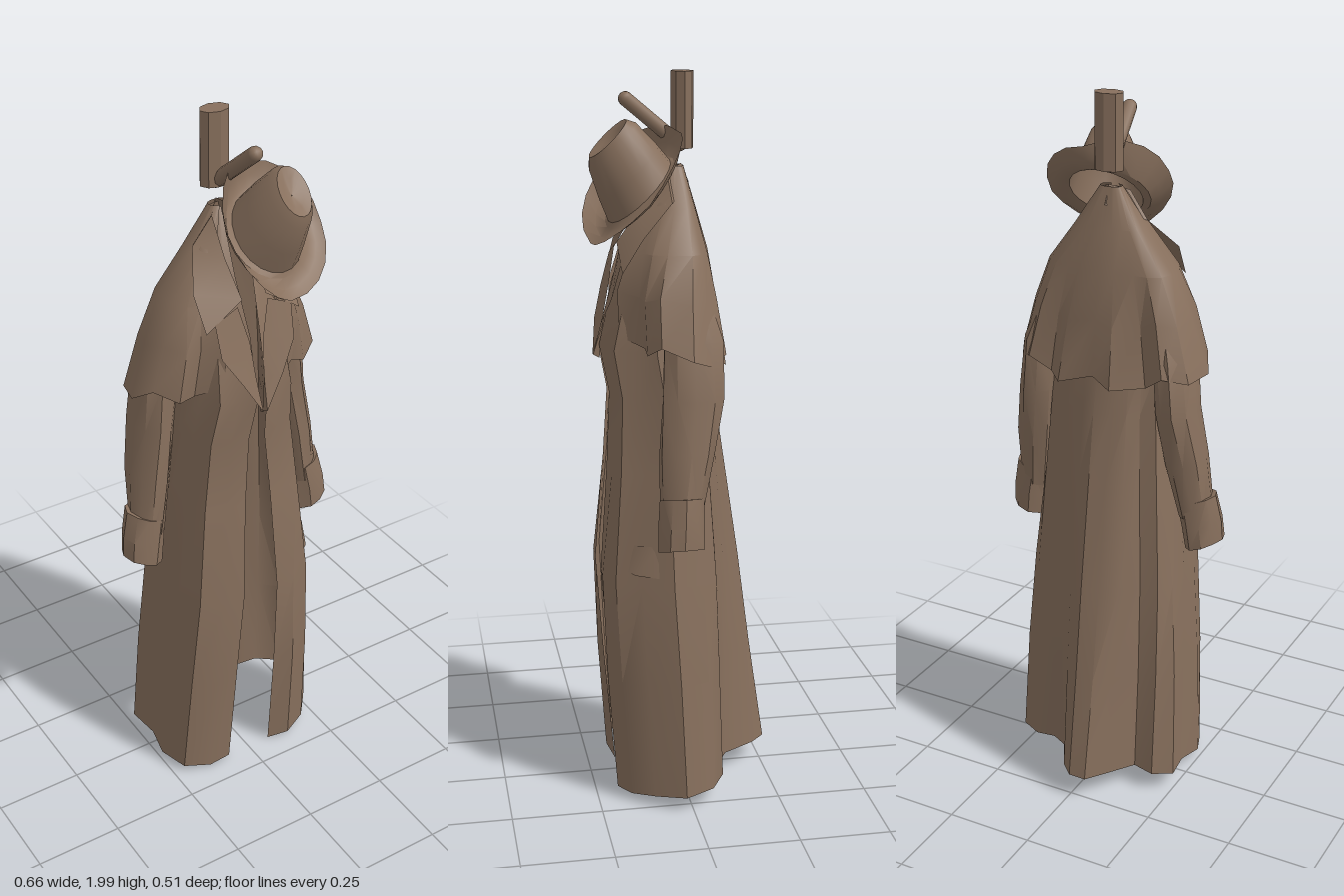
import * as THREE from 'three';
import { toCreasedNormals } from 'three/addons/utils/BufferGeometryUtils.js';

const brown = new THREE.MeshStandardMaterial({ color: 0x88705d, side: THREE.DoubleSide });
brown.name = 'weathered brown';

function add(parent, name, geometry) {
  const mesh = new THREE.Mesh(geometry, brown);
  mesh.name = name;
  parent.add(mesh);
  return mesh;
}

// Skin between consecutive rows of [x, y, z] points
function loft(rows, closed = false, crease = 0.6) {
  const n = rows[0].length, index = [];
  for (let r = 0; r < rows.length - 1; r++) {
    for (let i = 0; i < (closed ? n : n - 1); i++) {
      const j = (i + 1) % n, a = r * n + i, b = r * n + j;
      index.push(a, a + n, b, b, a + n, b + n);
    }
  }
  const g = new THREE.BufferGeometry();
  g.setAttribute('position', new THREE.Float32BufferAttribute(rows.flat(2), 3));
  g.setIndex(index);
  return toCreasedNormals(g, crease);
}

// Open cloth ring: blends a pleated oval (split at the front) with a folded hem outline
function clothRing([y, hx, zf, zb, gap, fold, pleat = 0], hem, [rx, rf, rb], lift) {
  const g = Math.asin(Math.min(1, gap / hx)), n = hem.length;
  return hem.map(([px, pz], i) => {
    const th = g + (i / (n - 1)) * (2 * Math.PI - 2 * g), c = Math.cos(th);
    const k = 1 - (i % 2) * pleat;
    const ex = -Math.sin(th) * hx * k;
    const ez = Math.sign(c) * Math.pow(Math.abs(c), 0.68) * (c > 0 ? zf : zb) * k;
    const fx = px * hx / rx, fz = pz > 0 ? pz * zf / rf : pz * zb / rb;
    return [ex + (fx - ex) * fold, y + lift(i / (n - 1), y), ez + (fz - ez) * fold];
  });
}

const mirror = (pts, s) => pts.map(([x, y, z]) => [x * s, y, z]);

export function createModel() {
  const model = new THREE.Group();
  model.name = 'coatAndHatOnPeg';

  // Long coat body, split down the front
  const coatHem = [
    [-0.07, 0.17], [-0.145, 0.185], [-0.22, 0.158], [-0.25, 0.08], [-0.235, 0], [-0.25, -0.09], [-0.2, -0.13],
    [-0.14, -0.12], [-0.09, -0.2], [-0.05, -0.26], [0, -0.26], [0.04, -0.22], [0.09, -0.13], [0.14, -0.1],
    [0.2, -0.1], [0.265, -0.06], [0.295, 0.02], [0.25, 0.1], [0.2, 0.16], [0.13, 0.19], [0.07, 0.17],
  ];
  const coatRows = [ // y, half width, front depth, back depth, front gap, fold, pleat
    [0, 0.275, 0.18, 0.26, 0.07, 1],
    [0.35, 0.26, 0.21, 0.215, 0.055, 0.8, 0.05],
    [0.65, 0.24, 0.23, 0.18, 0.045, 0.6, 0.08],
    [0.95, 0.207, 0.205, 0.135, 0.03, 0.45, 0.11],
    [1.15, 0.185, 0.192, 0.105, 0.012, 0.35, 0.12],
    [1.28, 0.172, 0.215, 0.08, 0.006, 0.2, 0.1],
    [1.45, 0.15, 0.175, 0.055, 0.012, 0.1, 0.06],
    [1.6, 0.1, 0.12, 0.03, 0.025, 0],
    [1.75, 0.025, 0.015, 0.012, 0.003, 0],
  ];
  const coatLift = (t, y) => (0.01 + 0.07 * Math.sin(Math.PI * t)) * Math.max(0, 1 - y / 0.6);
  add(model, 'coatBody', loft(coatRows.map(r => clothRing(r, coatHem, [0.275, 0.18, 0.26], coatLift))));

  // Shoulder cape with a wavy hem
  const capeHem = [
    [-0.09, 0.17], [-0.15, 0.12], [-0.2, 0.13], [-0.25, 0.08], [-0.28, 0.02], [-0.26, -0.06], [-0.2, -0.1],
    [-0.14, -0.075], [-0.06, -0.13], [0, -0.11], [0.1, -0.12], [0.14, -0.085], [0.2, -0.1], [0.25, -0.05],
    [0.275, 0], [0.25, 0.08], [0.2, 0.11], [0.16, 0.11], [0.1, 0.17],
  ];
  const capeRows = [
    [1.3, 0.275, 0.17, 0.13, 0.1, 1],
    [1.43, 0.232, 0.175, 0.105, 0.1, 0.75],
    [1.54, 0.182, 0.15, 0.08, 0.1, 0.4],
    [1.65, 0.1, 0.09, 0.05, 0.06, 0.1],
    [1.755, 0.03, 0.02, 0.02, 0.01, 0],
  ];
  const capeLift = (t, y) =>
    (0.02 * Math.cos(t * 38) - 0.06 * Math.pow(Math.sin(Math.PI * t), 3)) * Math.max(0, (1.54 - y) / 0.24);
  add(model, 'shoulderCape', loft(capeRows.map(r => clothRing(r, capeHem, [0.275, 0.17, 0.13], capeLift))));

  // Turned-down collar and notched lapels
  const collar = [
    [[0, 1.76, -0.015], [0.04, 1.74, 0.03], [0.045, 1.65, 0.1], [0.035, 1.56, 0.165]],
    [[0, 1.71, -0.036], [0.095, 1.665, 0.025], [0.145, 1.58, 0.11], [0.14, 1.49, 0.165]],
  ];
  const lapel = [
    [[0.003, 1.24, 0.21], [0.012, 1.34, 0.2], [0.02, 1.44, 0.18], [0.045, 1.54, 0.16]],
    [[0.006, 1.25, 0.228], [0.06, 1.34, 0.215], [0.11, 1.42, 0.19], [0.115, 1.51, 0.165]],
  ];
  for (const [side, s] of [['left', 1], ['right', -1]]) {
    add(model, side + 'Collar', loft(collar.map(r => mirror(r, s))));
    add(model, side + 'Lapel', loft(lapel.map(r => mirror(r, s))));

    // Sleeve and flared open cuff: x, y, z, half width, half depth, outer tilt
    const tube = rows => loft(rows.map(([x, y, z, rx, rz, tilt]) =>
      Array.from({ length: 10 }, (_, i) => {
        const a = i / 10 * Math.PI * 2, k = 1 + 0.05 * Math.sin(3 * a + y * 9);
        return [s * (x + Math.cos(a) * rx * k), y + Math.cos(a) * tilt, z + Math.sin(a) * rz * k];
      })), true);
    add(model, side + 'Sleeve', tube([
      [0.16, 1.46, 0, 0.035, 0.05, 0],
      [0.195, 1.32, -0.01, 0.055, 0.08, 0],
      [0.208, 1.17, -0.01, 0.056, 0.083, 0],
      [0.232, 1.02, 0.008, 0.055, 0.075, 0.01],
      [0.252, 0.86, 0.027, 0.045, 0.058, 0.015],
    ]));
    add(model, side + 'Cuff', tube([
      [0.25, 0.9, 0.024, 0.04, 0.045, 0.015],
      [0.254, 0.905, 0.025, 0.053, 0.06, 0.015],
      [0.268, 0.83, 0.03, 0.055, 0.063, 0.015],
      [0.275, 0.768, 0.033, 0.053, 0.062, 0.018],
      [0.268, 0.79, 0.033, 0.04, 0.048, 0.015],
    ]));
  }

  // Pocket flap
  add(model, 'pocketFlap', loft([
    [[0.15, 0.76, 0.175], [0.195, 0.76, 0.135], [0.215, 0.76, 0.085]],
    [[0.155, 0.69, 0.19], [0.205, 0.68, 0.145], [0.228, 0.675, 0.085]],
  ]));

  // Wide-brimmed hat hanging tilted forward: crown leans back, brim curls at the top and one side
  const profile = [
    [0.001, 0.152], [0.04, 0.162], [0.068, 0.168], [0.085, 0.145], [0.103, 0.07],
    [0.113, 0.01], [0.122, 0.002], [0.145, -0.004], [0.168, 0.002],
  ].map(p => new THREE.Vector2(...p));
  const hatGeometry = new THREE.LatheGeometry(profile, 20);
  const p = hatGeometry.attributes.position;
  for (let i = 0; i < p.count; i++) {
    const x = p.getX(i), y = p.getY(i), z = p.getZ(i), r = Math.hypot(x, z);
    const brim = Math.max(0, (r - 0.114) / 0.054);
    const side = x < 0 ? 0.075 * Math.abs(x / r) : 0.015 * x / r;
    const curl = side + 0.035 * Math.max(0, -z / r);
    p.setY(i, y + brim * curl);
    if (brim === 0) p.setX(i, x * (0.9 - Math.max(0, y) * 1.4));
    p.setZ(i, z * (1 + 0.1 * brim) - (brim === 0 ? 0.24 * Math.max(0, y) : 0));
  }
  const hat = add(model, 'hat', toCreasedNormals(hatGeometry, 0.6));
  hat.position.set(0.073, 1.69, 0.105);
  hat.quaternion.setFromUnitVectors(new THREE.Vector3(0, 1, 0), new THREE.Vector3(0.12, 0.7, 0.7).normalize());

  // Post and angled peg
  const post = add(model, 'post', toCreasedNormals(new THREE.CylinderGeometry(0.042, 0.042, 0.2, 8), 0.6));
  post.scale.z = 0.72;
  post.position.set(-0.002, 1.9, -0.018);
  const a = new THREE.Vector3(0, 1.81, -0.01), b = new THREE.Vector3(0.018, 1.93, 0.135);
  const peg = add(model, 'peg', new THREE.CapsuleGeometry(0.02, a.distanceTo(b), 4, 10));
  peg.position.copy(a).lerp(b, 0.5);
  peg.quaternion.setFromUnitVectors(new THREE.Vector3(0, 1, 0), b.clone().sub(a).normalize());

  return model;
}
